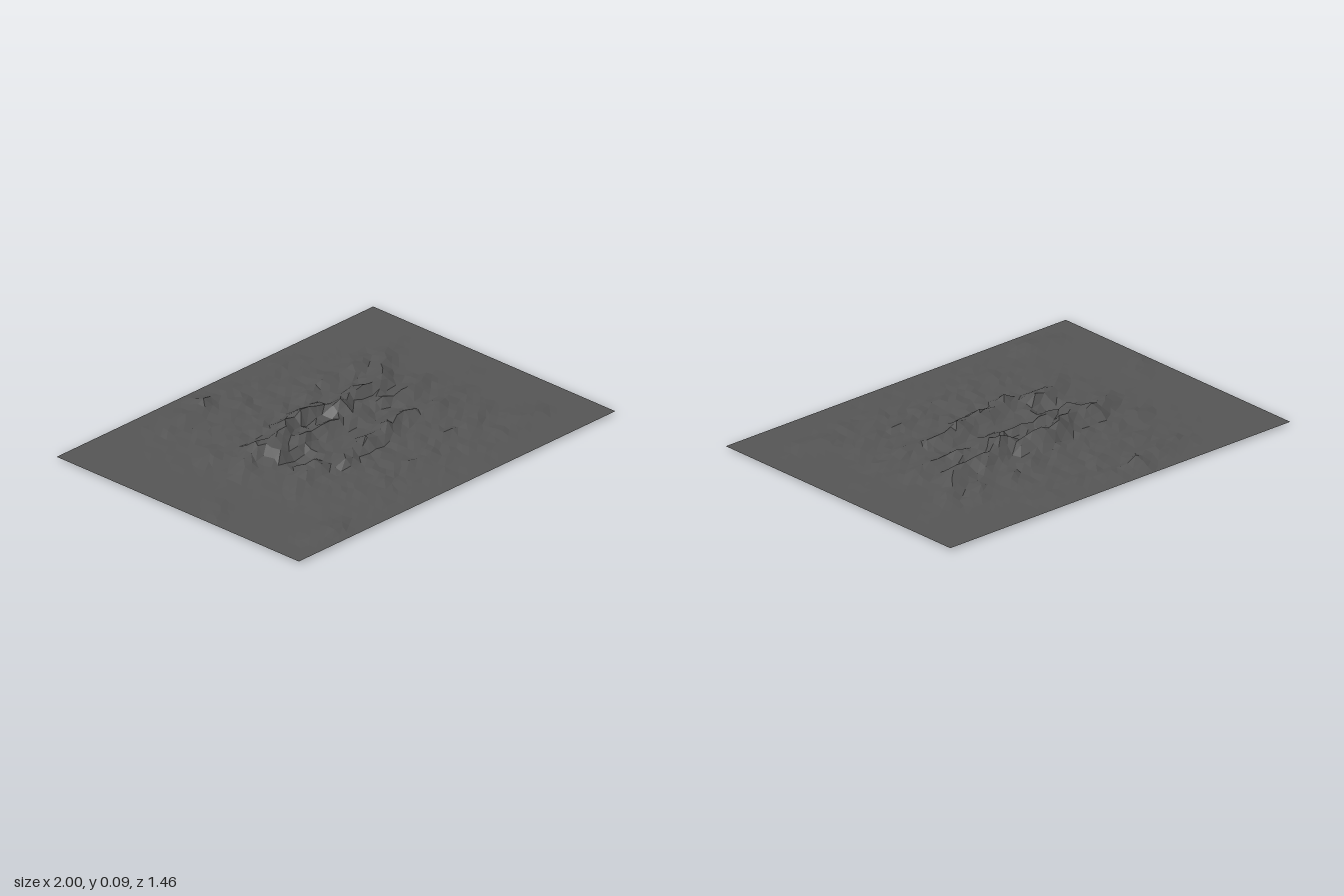
import * as THREE from 'three';

const WIDTH = 2, DEPTH = 1.46, BASE = 0.01;
const FRONT_SLOPE = 0.075, BACK_SLOPE = 0.11;

// Ridge crests from west to east: start x, z, height, then end x, z, height
const ridges = [
  // main crest
  [-0.58, -0.02, 0.03, -0.4, -0.09, 0.09],
  [-0.4, -0.09, 0.09, 0.08, -0.19, 0.096],
  [0.12, -0.11, 0.092, 0.5, -0.2, 0.062],
  [0.5, -0.2, 0.062, 0.8, -0.42, 0.015],
  // front crest
  [-0.6, 0.3, 0.015, -0.32, 0.16, 0.072],
  [-0.2, 0.24, 0.06, 0.15, 0.15, 0.076],
  [0.15, 0.15, 0.076, 0.75, 0.13, 0.015],
  // spine between the two crests
  [-0.35, -0.03, 0.075, 0.6, -0.04, 0.045],
  // back slopes
  [-0.55, -0.22, 0.035, 0.55, -0.38, 0.045],
  [-0.45, -0.38, 0.03, -0.08, -0.46, 0.037],
  [-0.5, -0.52, 0.03, -0.2, -0.61, 0.052],
  [-0.1, -0.6, 0.03, 0.4, -0.58, 0.025],
  // foothills
  [-0.35, 0.5, 0.032, 0.6, 0.32, 0.032],
  [0.15, 0.52, 0.02, 0.75, 0.5, 0.03],
  [-0.8, 0.63, 0.025, -0.66, 0.61, 0.032],
  [-0.96, 0.18, 0.022, -0.65, 0.02, 0.015],
  [0.65, 0.02, 0.02, 0.98, -0.02, 0.012],
];

function makeRandom(seed) {
  return () => (seed = (seed * 16807) % 2147483647) / 2147483647;
}

// Height of one meandering, rippled crest, falling off linearly to each side
function ridgeHeight([ax, az, ah, bx, bz, bh], x, z) {
  const t = THREE.MathUtils.clamp((x - ax) / (bx - ax), 0, 1);
  const cx = ax + (bx - ax) * t;
  const cz = az + (bz - az) * t + 0.018 * Math.sin(17 * cx);
  const ripple = 0.9 + 0.1 * Math.cos((cx - 0.15) * 37);
  const slope = z > cz ? FRONT_SLOPE : BACK_SLOPE;
  const distance = Math.hypot(x - cx, z - cz) / slope;
  return ((ah + (bh - ah) * t) * ripple - BASE) * (1 - distance);
}

// Rocky ground as a faceted sheet, flat at its border
function buildTerrain() {
  const cols = 40, rows = 36, random = makeRandom(4711);
  const geometry = new THREE.PlaneGeometry(WIDTH, DEPTH, cols, rows).rotateX(-Math.PI / 2);
  const pos = geometry.attributes.position;
  for (let i = 0; i < pos.count; i++) {
    const c = i % (cols + 1), r = Math.floor(i / (cols + 1));
    if (c === 0 || r === 0 || c === cols || r === rows) {
      pos.setY(i, BASE);
      continue;
    }
    const x = pos.getX(i) + (random() - 0.5) * 0.024;
    const z = pos.getZ(i) + (random() - 0.5) * 0.018;
    // Low mound with rough ground, and the highest ridge over it
    const mound = Math.exp(-((x / 0.6) ** 4) - (z / 0.6) ** 4);
    let h = mound * 0.014;
    for (const ridge of ridges) h = Math.max(h, ridgeHeight(ridge, x, z));
    h += mound * (random() - 0.5) * 0.012;
    // Small hollow behind the front crest
    const hollow = Math.max(0, 1 - Math.hypot(x + 0.3, z - 0.07) / 0.08);
    const y = THREE.MathUtils.lerp(BASE + Math.max(h, 0), 0, Math.min(1, hollow * 1.6));
    pos.setXYZ(i, x, y, z);
  }
  geometry.computeVertexNormals();
  return geometry;
}

export function createModel() {
  const group = new THREE.Group();
  group.name = 'rockyTerrain';
  const material = new THREE.MeshStandardMaterial({ color: 0x555555, flatShading: true, side: THREE.DoubleSide });
  const terrain = new THREE.Mesh(buildTerrain(), material);
  terrain.name = 'groundSheet';
  group.add(terrain);
  return group;
}
